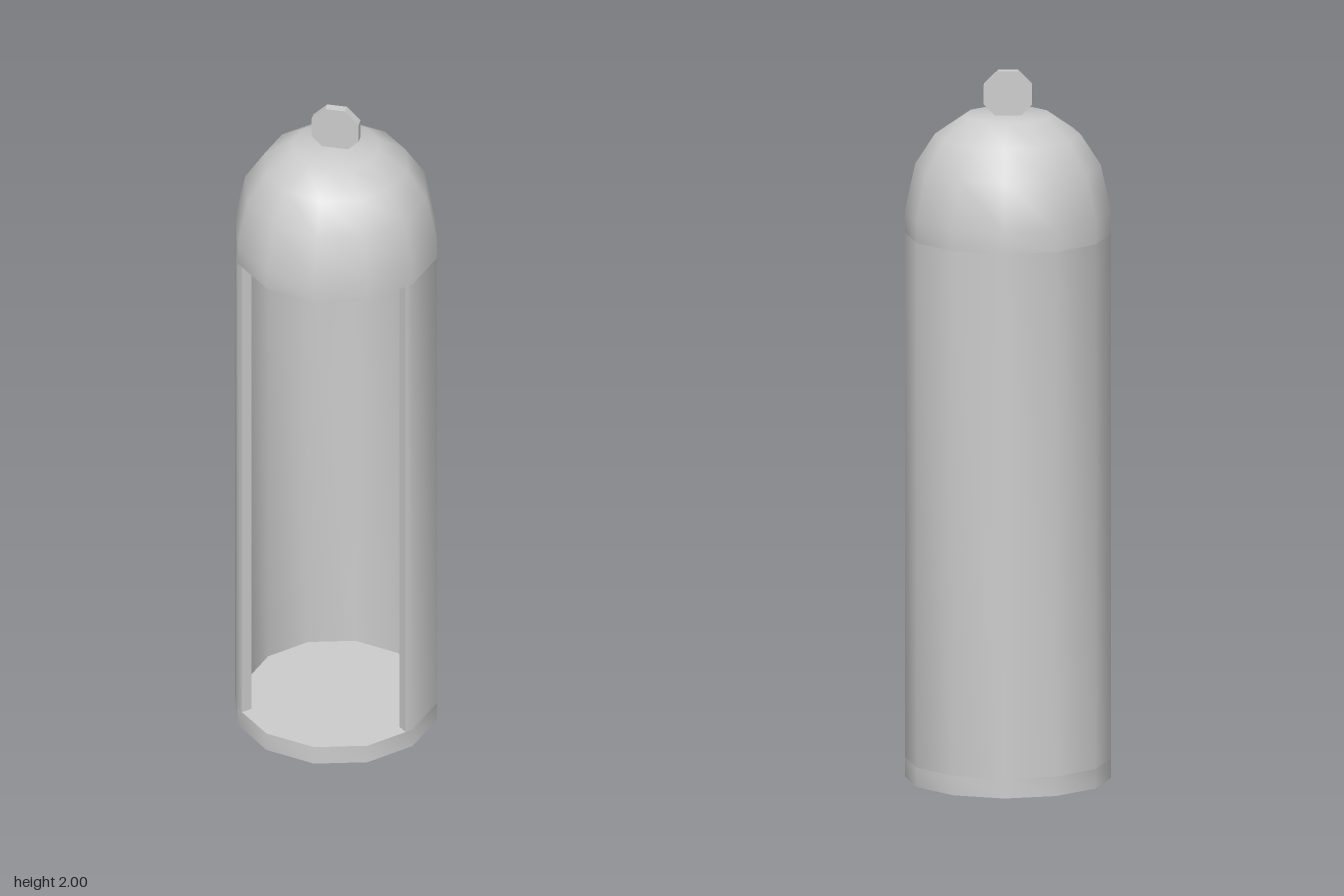
import * as THREE from 'three';
import { toCreasedNormals } from 'three/addons/utils/BufferGeometryUtils.js';

const SIDES = 12, OUTER = 0.286, INNER = 0.254;
const FLOOR = 0.055, LINTEL = 1.54;

export function createModel() {
  const model = new THREE.Group();
  const material = new THREE.MeshStandardMaterial({ color: 0xcccccc });

  const add = (name, geometry, crease) => {
    const mesh = new THREE.Mesh(toCreasedNormals(geometry, crease), material);
    mesh.name = name;
    model.add(mesh);
    return mesh;
  };
  const lathe = (points) =>
    new THREE.LatheGeometry(points.map(([r, y]) => new THREE.Vector2(r, y)), SIDES);

  // Base disc, whose top is the floor
  add('base', lathe([[0, 0], [OUTER, 0], [OUTER, FLOOR], [0, FLOOR]]), 0.7);

  // Wall: C-shaped plan open to the front (shape y is -z), ends just past the 30 degree corners
  const corner = (r, i) => {
    const a = (i * Math.PI * 2) / SIDES;
    return new THREE.Vector2(r * Math.cos(a), r * Math.sin(a));
  };
  const plan = [new THREE.Vector2(0.232, -0.159)];
  for (let i = -1; i <= 7; i++) plan.push(corner(OUTER, i));
  plan.push(new THREE.Vector2(-0.232, -0.159), new THREE.Vector2(-0.21, -0.137));
  for (let i = 7; i >= -1; i--) plan.push(corner(INNER, i));
  plan.push(new THREE.Vector2(0.21, -0.137));
  const wall = new THREE.ExtrudeGeometry(new THREE.Shape(plan), {
    depth: LINTEL - FLOOR, bevelEnabled: false,
  });
  wall.rotateX(-Math.PI / 2).translate(0, FLOOR, 0);
  add('wall', wall, 0.7);

  // Domed roof with a short straight skirt above the opening
  add('dome', lathe([
    [0, LINTEL], [OUTER, LINTEL], [OUTER, 1.6], [0.257, 1.735],
    [0.202, 1.82], [0.122, 1.875], [0, 1.875],
  ]), 0.7);

  // Thin octagonal knob standing on edge
  const knob = new THREE.CylinderGeometry(0.0725, 0.0725, 0.024, 8);
  knob.rotateY(Math.PI / 8).rotateX(Math.PI / 2);
  add('knob', knob, 0.3).position.y = 1.933;

  return model;
}
